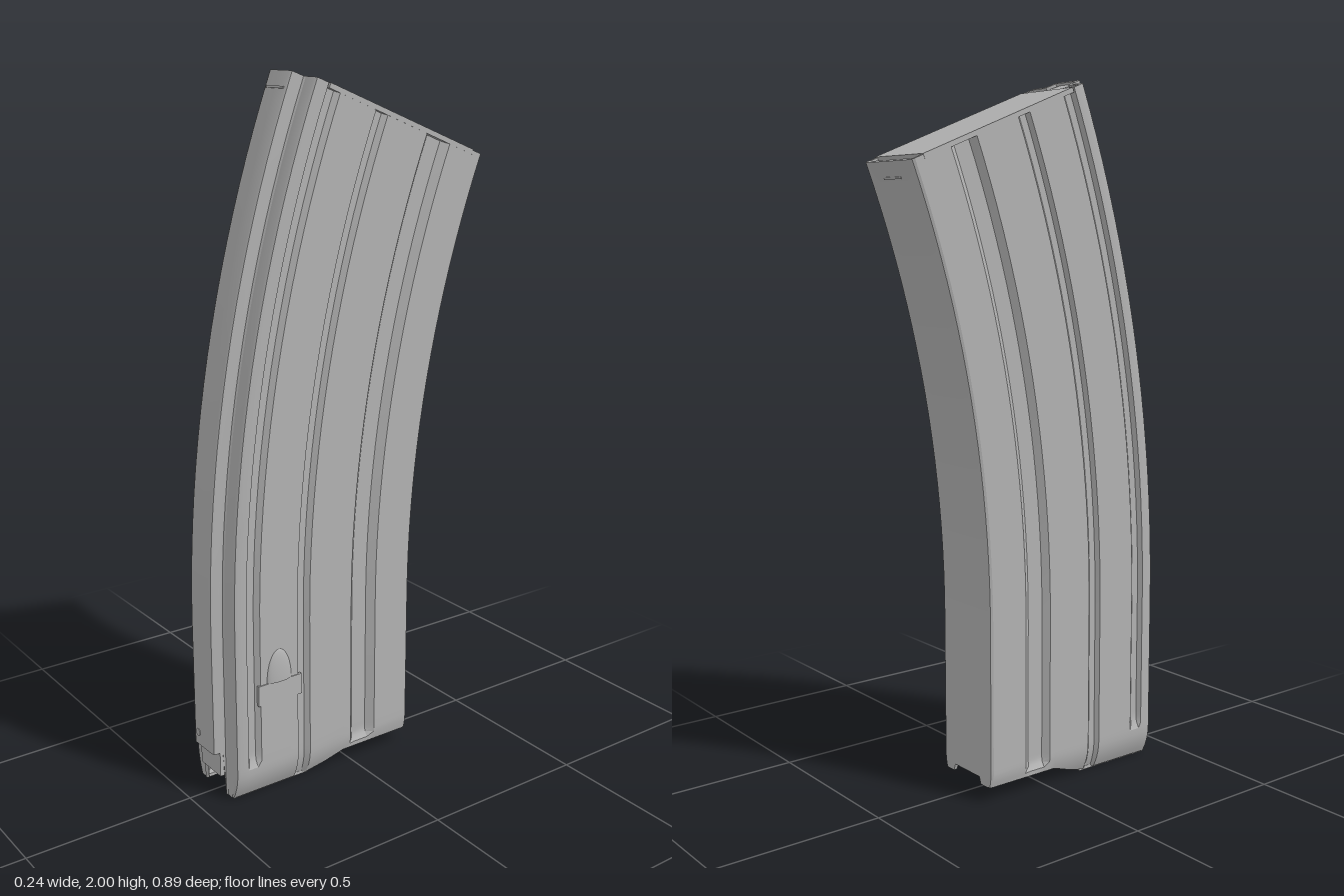
import * as THREE from 'three';
import { toCreasedNormals } from 'three/addons/utils/BufferGeometryUtils.js';

const MID = -0.0075;           // x of the symmetry plane
const BEND_Y = 0.5, BEND_R = 3.655, BEND_A = 0.375;
const WALL = 0.011;
const clamp = THREE.MathUtils.clamp;

// grooves pressed into the sides: height at which each one fades out
const GROOVE_END = [0.09, -1, 0.05];

// half cross-section from front centre to back centre: x, z, depth, groove
const HALF = [
  [0, 0.445], [0.044, 0.445], [0.051, 0.442], [0.0535, 0.435], [0.0545, 0.415],
  [0.057, 0.408], [0.063, 0.405], [0.1, 0.405], [0.109, 0.401], [0.1125, 0.392],
  [0.1125, 0.365], [0.1125, 0.357, 0.013, 0], [0.1125, 0.335, 0.013, 0], [0.1125, 0.322],
  [0.1125, 0.196], [0.1125, 0.188, 0.013, 1], [0.1125, 0.167, 0.013, 1], [0.1125, 0.154],
  [0.1125, 0.09], [0.1125, 0.03],
  [0.1125, 0.008], [0.1125, -0.008, 0.018, 2], [0.1125, -0.058, 0.018, 2], [0.1125, -0.08],
  [0.1125, -0.195], [0.109, -0.202], [0.1, -0.205], [0.066, -0.205], [0.058, -0.205], [0, -0.205],
].map(([x, z, d = 0, g = 1]) => ({ x, z, d, g, side: 1 }));
const LOOP = [...HALF, ...HALF.slice(1, -1).reverse().map(p => ({ ...p, side: -1 }))];

// height of the open lower edge at each point of the cross-section
function lowerEdge(p) {
  if (p.z > 0.4 && p.x < 0.056) return 0.14;
  if (p.z < -0.2 && p.x < 0.06) return 0.065;
  return THREE.MathUtils.lerp(0.045, 0.005, clamp((p.z - 0.03) / 0.11, 0, 1));
}

// outline point at height y, with grooves and the inward curl of the lips
function outline(p, y) {
  let x = p.x - p.d * THREE.MathUtils.smoothstep(y, GROOVE_END[p.g], GROOVE_END[p.g] + 0.03);
  const curl = clamp((0.09 - y) / 0.09, 0, 1) ** 2;
  if (x > 0.058) x = 0.058 + (x - 0.058) * (1 - 0.5 * curl);
  return [x * p.side, p.z];
}

// straight below BEND_Y, then along a circular arc
function bend(x, z, y, a) {
  const r = BEND_R + z;
  return a > 0
    ? [x + MID, BEND_Y + r * Math.sin(a), r * Math.cos(a) - BEND_R]
    : [x + MID, y, z];
}

function shellGeometry() {
  const rows = [];
  for (let i = 0; i <= 10; i++) rows.push({ t: i / 10 });
  rows.push({ y: 0.3 }, { y: BEND_Y });
  for (let i = 1; i <= 20; i++) rows.push({ y: BEND_Y + 0.01, a: BEND_A * i / 20 });
  const n = LOOP.length;
  const outer = [], inner = [];
  for (const row of rows) {
    const ys = LOOP.map(p => row.t === undefined ? row.y : THREE.MathUtils.lerp(lowerEdge(p), 0.18, row.t));
    const pts = LOOP.map((p, i) => outline(p, ys[i]));
    outer.push(pts.map(([x, z], i) => bend(x, z, ys[i], row.a)));
    inner.push(pts.map(([x, z], i) => {
      const q = pts[(i + n - 1) % n], s = pts[(i + 1) % n];
      const tx = s[0] - q[0], tz = s[1] - q[1], l = Math.hypot(tx, tz);
      return bend(x + tz / l * WALL, z - tx / l * WALL, ys[i], row.a);
    }));
  }
  const pos = [];
  const quad = (a, b, c, d) => pos.push(...a, ...b, ...c, ...a, ...c, ...d);
  const top = rows.length - 1;
  for (let i = 0; i < n; i++) {
    const j = (i + 1) % n;
    for (let r = 0; r < top; r++) {
      quad(outer[r][i], outer[r][j], outer[r + 1][j], outer[r + 1][i]);
      quad(inner[r][j], inner[r][i], inner[r + 1][i], inner[r + 1][j]);
    }
    quad(outer[0][i], inner[0][i], inner[0][j], outer[0][j]);
    quad(outer[top][i], outer[top][j], inner[top][j], inner[top][i]);
  }
  const geo = new THREE.BufferGeometry();
  geo.setAttribute('position', new THREE.Float32BufferAttribute(pos, 3));
  return toCreasedNormals(geo, 0.45);
}

export function createModel() {
  const group = new THREE.Group();
  const metal = new THREE.MeshStandardMaterial({ color: 0xb2b2b2, side: THREE.DoubleSide });
  metal.name = 'grey metal';

  const add = (name, geo, x, y, z, a = 0) => {
    const m = new THREE.Mesh(geo, metal);
    m.name = name;
    m.position.set(x, y, z);
    m.rotation.x = -a;
    group.add(m);
    return m;
  };
  const box = (w, h, d) => new THREE.BoxGeometry(w, h, d);
  // place a part on the bent section, with a drop measured along the arc
  const addBent = (name, geo, x, z, drop) => {
    const a = BEND_A - drop / (BEND_R + z);
    const [px, py, pz] = bend(x, z, 0, a);
    return add(name, geo, px, py, pz, a);
  };

  add('curvedShell', shellGeometry(), 0, 0, 0);

  // end plate closing the upper end, with a bent-down front edge
  addBent('endPlate', box(0.226, 0.014, 0.527), 0, 0.096, 0.005);
  addBent('endPlateFrontEdge', box(0.19, 0.012, 0.022), 0, 0.369, 0.014);
  for (const s of [1, -1]) {
    addBent('plateRail', box(0.012, 0.012, 0.02), s * 0.1, 0.374, 0.005);
  }

  // rounded stud inside the front channel
  const stud = addBent('channelStud', new THREE.CylinderGeometry(0.036, 0.036, 0.03, 24), 0.002, 0.412, 0.022);
  stud.scale.z = 0.75;

  // narrow slots near the upper end, front and back
  addBent('frontSlot', box(0.08, 0.006, 0.004), 0, 0.445, 0.045);
  addBent('backSlot', box(0.08, 0.006, 0.004), 0, -0.205, 0.045);

  // recessed lower end of the front channel and its rivet
  add('channelTab', box(0.104, 0.095, 0.012), MID, 0.1125, 0.417);
  const rivet = add('channelRivet', new THREE.CylinderGeometry(0.011, 0.011, 0.004, 16), -0.035, 0.178, 0.445);
  rivet.rotation.x = Math.PI / 2;

  // inward lips along the open lower end
  for (const s of [1, -1]) {
    add('lip', box(0.026, 0.01, 0.255), MID + s * 0.071, 0.006, 0.272);
  }

  // catch on the left side: half dome above a flat strip
  const dome = add('catchDome', new THREE.SphereGeometry(1, 24, 12, 0, Math.PI * 2, 0, Math.PI / 2), 0.102, 0.345, 0.26);
  dome.scale.set(0.015, 0.097, 0.042);
  const base = add('catchDomeBase', new THREE.CircleGeometry(1, 24), 0.102, 0.345, 0.26);
  base.rotation.x = Math.PI / 2;
  base.scale.set(0.015, 0.042, 1);
  add('catchStrip', box(0.01, 0.062, 0.145), 0.103, 0.313, 0.2575);

  return group;
}
